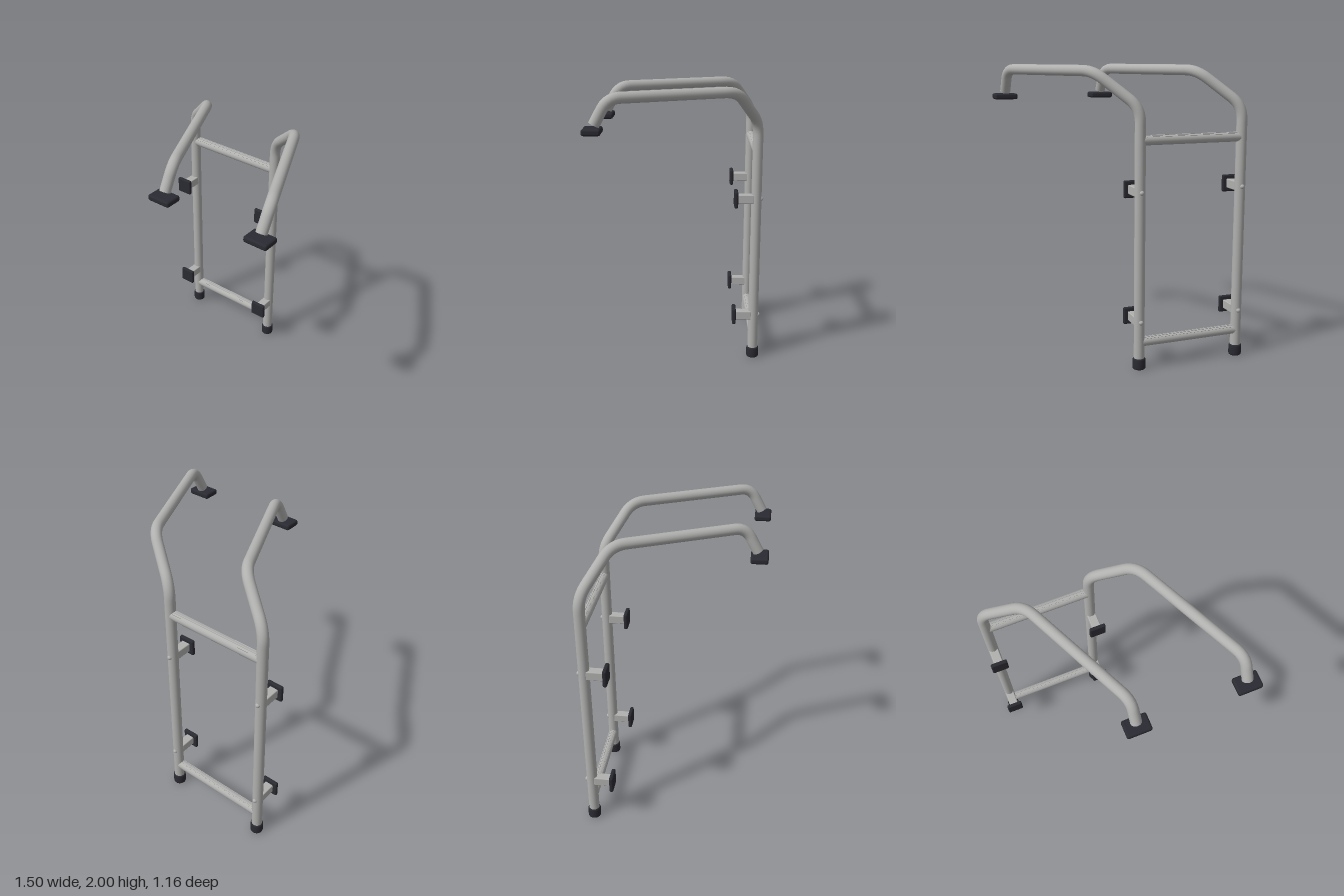
import * as THREE from 'three';
import { RoundedBoxGeometry } from 'three/addons/geometries/RoundedBoxGeometry.js';

const R = 0.036; // rail tube radius
const RAIL_Z = -0.531;
const RAIL_X = [-0.693, 0.033];

// Path of straight runs joined by soft bends
function bentPath(points, setbacks) {
  const path = new THREE.CurvePath();
  let from = points[0];
  for (let i = 1; i < points.length - 1; i++) {
    const p = points[i];
    const toward = (q) => p.clone().add(q.clone().sub(p).setLength(setbacks[i - 1]));
    const a = toward(points[i - 1]);
    const b = toward(points[i + 1]);
    path.add(new THREE.LineCurve3(from, a));
    path.add(new THREE.QuadraticBezierCurve3(a, p, b));
    from = b;
  }
  path.add(new THREE.LineCurve3(from, points[points.length - 1]));
  return path;
}

export function createModel() {
  const metal = new THREE.MeshStandardMaterial({ color: 0xb0b1af });
  metal.name = 'brushedMetal';
  const rubber = new THREE.MeshStandardMaterial({ color: 0x2a2a32 });
  rubber.name = 'blackRubber';

  const model = new THREE.Group();
  model.name = 'hookLadder';

  function add(parent, name, geometry, material, x = 0, y = 0, z = 0) {
    const mesh = new THREE.Mesh(geometry, material);
    mesh.name = name;
    mesh.position.set(x, y, z);
    parent.add(mesh);
    return mesh;
  }

  // Rail: upright, slanted shoulder, overhead run and short drop to the pad
  const points = [
    [0, 0.02, RAIL_Z],
    [0, 1.735, RAIL_Z],
    [0.26, 1.965, -0.37],
    [0.628, 1.965, 0.422],
    [0.629, 1.807, 0.508],
  ].map((p) => new THREE.Vector3(...p));
  const railGeo = new THREE.TubeGeometry(bentPath(points, [0.09, 0.09, 0.075]), 120, R, 24);
  const capGeo = new THREE.CircleGeometry(R, 24);
  const endDir = points[4].clone().sub(points[3]).normalize();

  // Rubber foot with softened edges
  const footGeo = new THREE.LatheGeometry(
    [[0, 0], [0.036, 0], [0.042, 0.004], [0.044, 0.012], [0.044, 0.066], [0.041, 0.075], [0.034, 0.078], [0, 0.078]]
      .map((p) => new THREE.Vector2(...p)), 24);
  const padGeo = new RoundedBoxGeometry(0.164, 0.041, 0.116, 3, 0.014);
  const standoffPadGeo = new RoundedBoxGeometry(0.117, 0.117, 0.027, 3, 0.011);
  const armGeo = new RoundedBoxGeometry(0.062, 0.062, 0.12, 2, 0.006);
  const boltGeo = new THREE.SphereGeometry(0.016, 16, 10);

  RAIL_X.forEach((x, i) => {
    const side = new THREE.Group();
    side.name = i === 0 ? 'rightRail' : 'leftRail';
    side.position.x = x;
    model.add(side);

    add(side, 'railTube', railGeo, metal);
    const cap = add(side, 'railEndCap', capGeo, metal, ...points[4].toArray());
    cap.quaternion.setFromUnitVectors(new THREE.Vector3(0, 0, 1), endDir);
    add(side, 'foot', footGeo, rubber, 0, 0, RAIL_Z);
    add(side, 'hookPad', padGeo, rubber, 0.629, 1.77, 0.52);

    // Standoffs in front of the upright, bolted through from behind
    for (const y of [0.33, 1.198]) {
      add(side, 'standoffArm', armGeo, metal, 0, y, -0.455);
      add(side, 'standoffPad', standoffPadGeo, rubber, 0, y, -0.389);
      add(side, 'bolt', boltGeo, metal, 0, y, -0.563);
    }
  });

  // Rungs with fine grip ridges along the top
  const span = RAIL_X[1] - RAIL_X[0];
  const midX = (RAIL_X[0] + RAIL_X[1]) / 2;
  const rungGeo = new THREE.CylinderGeometry(0.032, 0.032, span, 24, 1, true).rotateZ(Math.PI / 2);
  const ridgeGeo = new THREE.BoxGeometry(span - 0.07, 0.006, 0.006);
  for (const y of [0.187, 1.531]) {
    const rung = new THREE.Group();
    rung.name = 'rung';
    rung.position.set(midX, y, RAIL_Z);
    model.add(rung);
    add(rung, 'rungTube', rungGeo, metal);
    for (const angle of [-0.7, -0.25, 0.25, 0.7]) {
      const ridge = add(rung, 'gripRidge', ridgeGeo, metal, 0, 0.0315 * Math.cos(angle), 0.0315 * Math.sin(angle));
      ridge.rotation.x = angle;
    }
  }

  return model;
}
